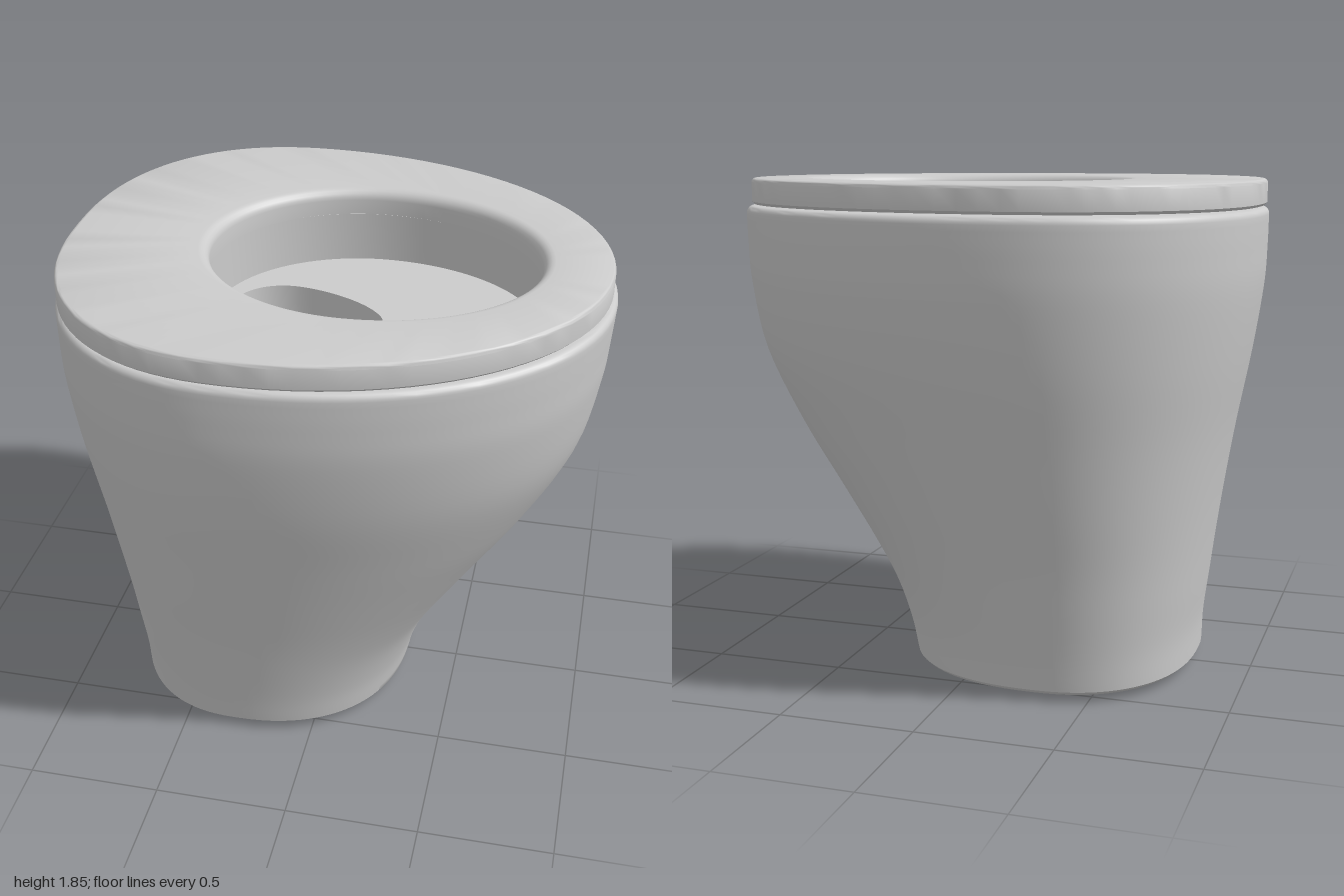
import * as THREE from 'three';
import { toCreasedNormals } from 'three/addons/utils/BufferGeometryUtils.js';

const SEGMENTS = 96;
const material = new THREE.MeshStandardMaterial({ color: 0xcccccc });

// Egg-shaped ring: back and front ends, half width, widest x, squareness of each half
const egg = (y, back, front, width, widest, nBack = 2.3, nFront = 2) =>
  ({ y, back, front, width, widest, nBack, nFront });

// The same ring moved inward by d at height y
const inset = (r, y, d) =>
  ({ ...r, y, back: r.back + d, front: r.front - d, width: r.width - d });

// Ring shrunk to a single point
const centre = (r, y) => ({ ...r, y, back: r.widest, front: r.widest, width: 0 });

function ringPoint(r, j) {
  const t = (j / SEGMENTS) * Math.PI * 2;
  const c = Math.cos(t), s = Math.sin(t);
  const n = c > 0 ? r.nFront : r.nBack;
  const reach = c > 0 ? r.front - r.widest : r.back - r.widest;
  return [
    r.widest + reach * Math.abs(c) ** (2 / n),
    r.y,
    Math.sign(s) * r.width * Math.abs(s) ** (2 / n),
  ];
}

// Skin through a list of rings
function loft(name, rings) {
  const positions = [], index = [];
  for (const r of rings)
    for (let j = 0; j < SEGMENTS; j++) positions.push(...ringPoint(r, j));
  for (let i = 0; i < rings.length - 1; i++)
    for (let j = 0; j < SEGMENTS; j++) {
      const k = (j + 1) % SEGMENTS;
      const a = i * SEGMENTS + j, d = i * SEGMENTS + k;
      const b = a + SEGMENTS, c = d + SEGMENTS;
      if (rings[i + 1].width > 0) index.push(a, b, c);
      if (rings[i].width > 0) index.push(a, c, d);
    }
  const geometry = new THREE.BufferGeometry();
  geometry.setAttribute('position', new THREE.Float32BufferAttribute(positions, 3));
  geometry.setIndex(index);
  const mesh = new THREE.Mesh(toCreasedNormals(geometry, 0.65), material);
  mesh.name = name;
  return mesh;
}

// Quarter-round edge from ring r, turning inward and up (or down) by radius
function roundOver(r, yStart, radius, steps = 5) {
  return Array.from({ length: steps + 1 }, (_, i) => {
    const a = (i / steps) * Math.PI / 2;
    return inset(r, yStart + radius * Math.sin(a), Math.abs(radius) * (1 - Math.cos(a)));
  });
}

// Outer wall of the pedestal, smoothed between key sections
function pedestalWall() {
  // height, back, front, half width, widest x
  const keys = [
    [0.04, -0.79, 0.30, 0.60, -0.30],
    [0.17, -0.795, 0.33, 0.62, -0.30],
    [0.33, -0.815, 0.39, 0.65, -0.29],
    [0.49, -0.835, 0.485, 0.682, -0.28],
    [0.69, -0.863, 0.62, 0.727, -0.27],
    [0.93, -0.902, 0.78, 0.78, -0.25],
    [1.20, -0.953, 0.92, 0.84, -0.22],
    [1.45, -0.99, 0.975, 0.878, -0.20],
    [1.60, -0.998, 0.99, 0.886, -0.20],
    [1.715, -1.0, 0.998, 0.886, -0.20],
  ];
  const smooth = (pick) =>
    new THREE.CatmullRomCurve3(keys.map(pick), false, 'catmullrom', 0.5);
  const ends = smooth((k) => new THREE.Vector3(k[1], k[2], k[3]));
  const heights = smooth((k) => new THREE.Vector3(k[0], k[4], 0));
  return Array.from({ length: 46 }, (_, i) => {
    const t = i / 45, e = ends.getPoint(t), h = heights.getPoint(t);
    return egg(h.x, e.x, e.y, e.z, h.y, 2.3, 2.3 - 0.25 * t);
  });
}

export function createModel() {
  const model = new THREE.Group();
  model.name = 'toilet';

  const opening = egg(1.75, -0.47, 0.73, 0.5, 0.1, 2, 2);
  const sump = egg(1.55, -0.43, 0.16, 0.215, -0.22, 2.1, 1.65);
  const throat = egg(1.38, -0.41, -0.15, 0.12, -0.32, 2.1, 1.65);

  // Pedestal with slightly domed underside, rounded rim and bowl wall
  const wall = pedestalWall();
  const foot = wall[0], top = wall[wall.length - 1];
  const bowlWall = inset(opening, 1.742, -0.012);
  model.add(loft('pedestal', [
    centre(foot, 0), inset(foot, 0.006, 0.25), inset(foot, 0.016, 0.06),
    inset(foot, 0.026, 0.015), ...wall,
    ...roundOver(top, top.y, 0.027).slice(1),
    bowlWall, inset(bowlWall, 1.55, 0),
  ]));

  // Bowl floor stepping down into the teardrop sump
  model.add(loft('bowlFloor', [
    inset(bowlWall, 1.55, 0), sump, inset(sump, 1.38, 0.005), throat,
  ]));

  // Rounded drain cavity
  const drain = Array.from({ length: 9 }, (_, i) => {
    const a = (i / 8) * Math.PI / 2, s = Math.cos(a);
    const mid = throat.widest;
    return i === 8 ? centre(throat, 1.14) : {
      ...throat,
      y: 1.38 - 0.24 * Math.sin(a),
      back: mid + (throat.back - mid) * s,
      front: mid + (throat.front - mid) * s,
      width: throat.width * s,
    };
  });
  model.add(loft('drain', drain));

  // Seat ring with soft outer and inner edges
  const rim = egg(1.75, -0.992, 0.98, 0.882, -0.2);
  const lip = roundOver(opening, 1.805, 0.04).map((r, i) =>
    inset(opening, r.y, -0.04 * (1 - Math.cos((i / 5) * Math.PI / 2)))).reverse();
  const underside = inset(rim, 1.748, 0.01);
  model.add(loft('seat', [
    underside, inset(rim, 1.758, 0), ...roundOver(rim, 1.83, 0.015),
    ...lip, inset(opening, 1.748, 0), underside,
  ]));

  return model;
}
